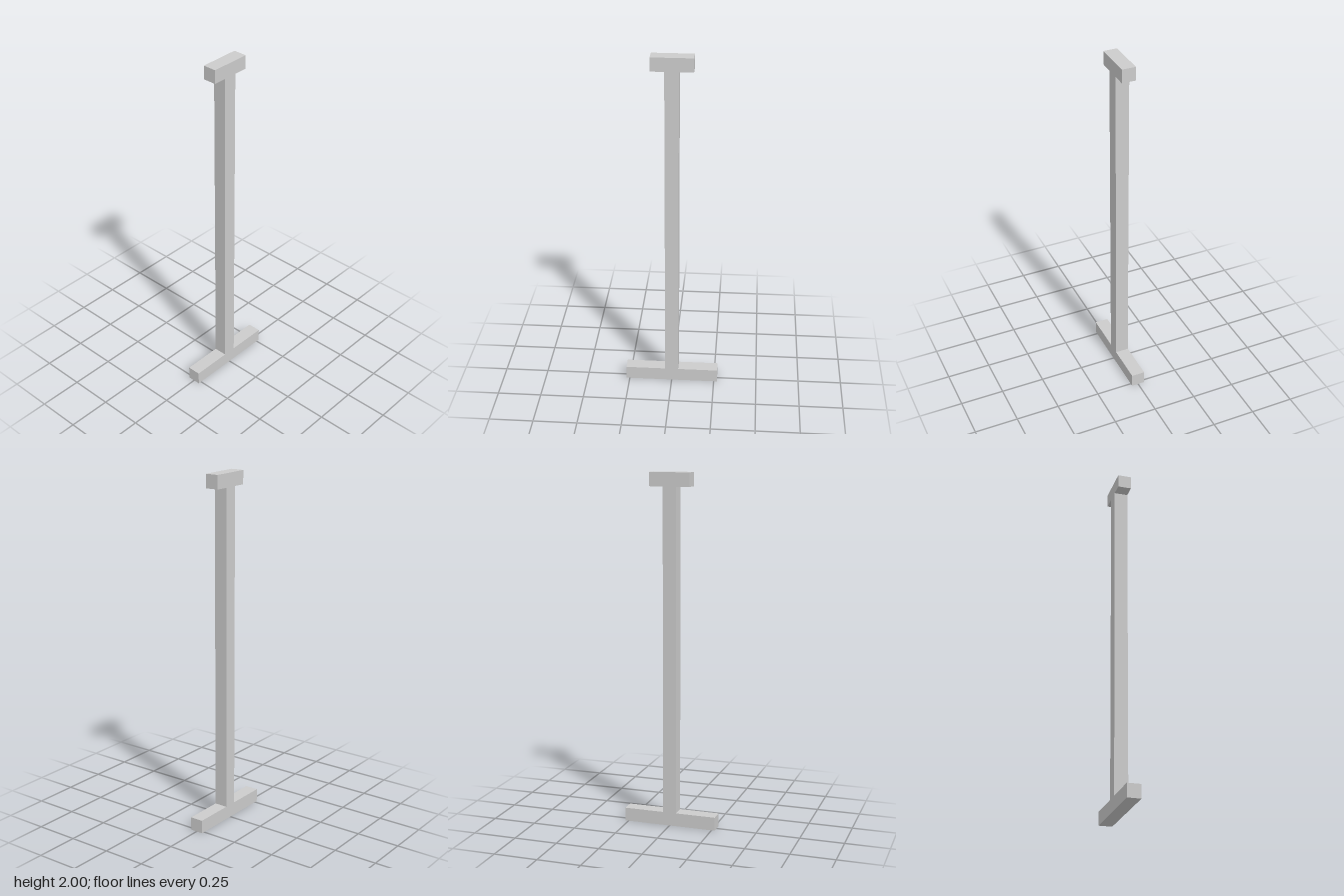
import * as THREE from 'three';

export function createModel() {
  const group = new THREE.Group();
  group.name = 'postWithFootAndCap';

  const t = 0.077;        // thickness of every bar
  const h = t / 2;        // half thickness of the post
  const foot = 0.269;     // half length of the foot
  const capFront = 0.114; // cap reach to the front
  const capBack = -0.117; // cap reach to the back
  const top = 2;

  // Side outline (z, y): foot, upright post and cap in one piece
  const outline = new THREE.Shape([
    [-foot, 0], [foot, 0], [foot, t], [h, t],
    [h, top - t], [capFront, top - t], [capFront, top],
    [capBack, top], [capBack, top - t], [-h, top - t],
    [-h, t], [-foot, t],
  ].map(([z, y]) => new THREE.Vector2(z, y)));

  // Extrude across the width, then turn the outline into the z-y plane
  const geometry = new THREE.ExtrudeGeometry(outline, { depth: t, bevelEnabled: false });
  geometry.translate(0, 0, -h);
  geometry.rotateY(-Math.PI / 2);

  const post = new THREE.Mesh(
    geometry,
    new THREE.MeshStandardMaterial({ color: 0xcccccc, flatShading: true }),
  );
  post.name = 'post';
  group.add(post);
  return group;
}
